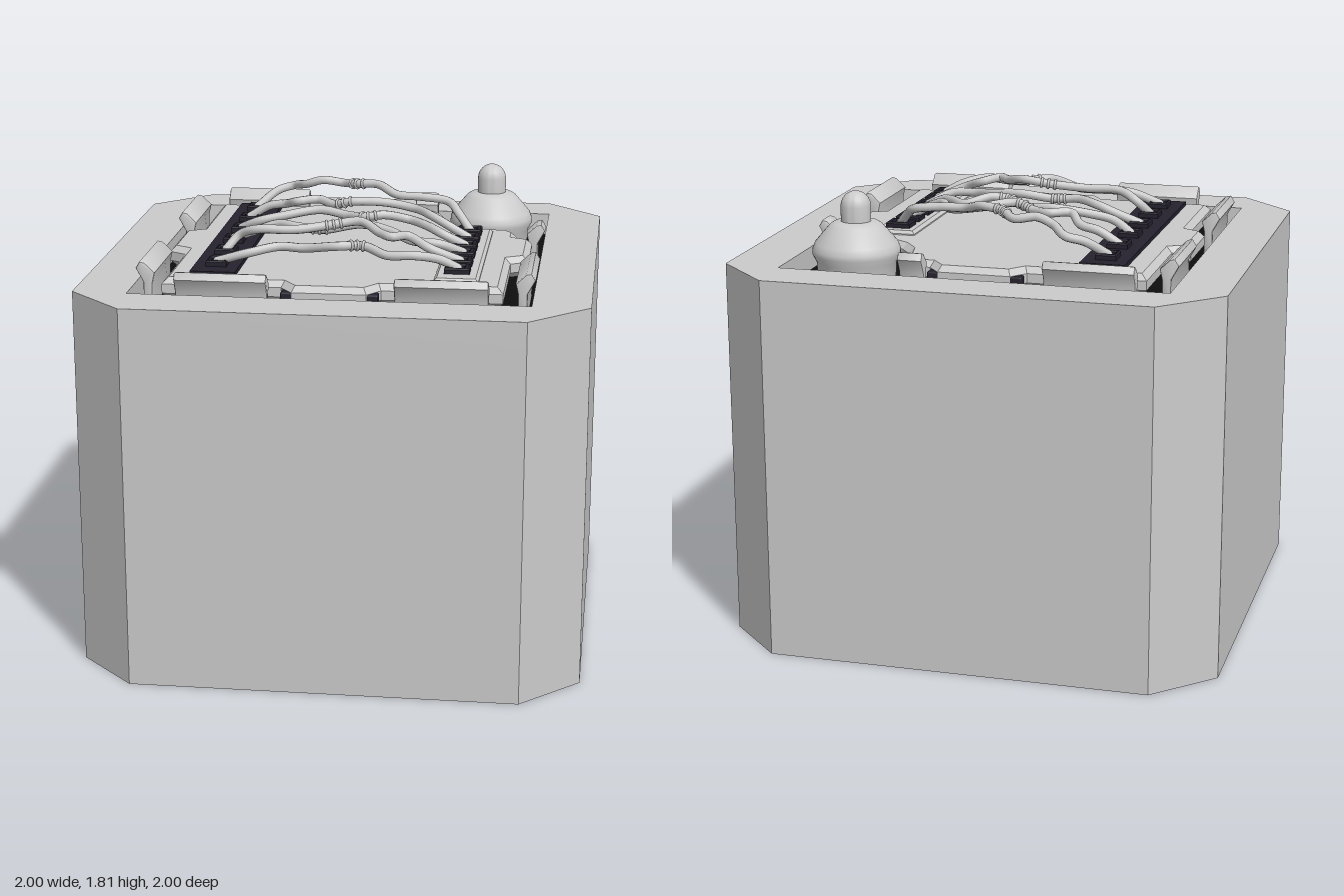
import * as THREE from 'three';
import { RoundedBoxGeometry } from 'three/addons/geometries/RoundedBoxGeometry.js';
import { toCreasedNormals } from 'three/addons/utils/BufferGeometryUtils.js';

const grey = new THREE.MeshStandardMaterial({ color: 0xcccccc });
const black = new THREE.MeshStandardMaterial({ color: 0x0e0e0e });
const dark = new THREE.MeshStandardMaterial({ color: 0x25222e });

function add(parent, name, geometry, material = grey, x = 0, y = 0, z = 0) {
  const mesh = new THREE.Mesh(geometry, material);
  mesh.name = name;
  mesh.position.set(x, y, z);
  parent.add(mesh);
  return mesh;
}

const toVec = ([x, z]) => new THREE.Vector2(x, -z);

// Horizontal slab from an (x, z) outline, with optional hole and bevel
function slab(points, y0, y1, hole = null, bevel = 0) {
  const shape = new THREE.Shape(points.map(toVec));
  if (hole) shape.holes.push(new THREE.Path(hole.map(toVec)));
  const geo = new THREE.ExtrudeGeometry(shape, {
    depth: y1 - y0 - 2 * bevel, bevelEnabled: bevel > 0, bevelSize: bevel,
    bevelThickness: bevel, bevelOffset: -bevel, bevelSegments: 1,
  });
  geo.rotateX(-Math.PI / 2);
  geo.translate(0, y0 + bevel, 0);
  return geo;
}

const rect = (x0, x1, z0, z1) => [[x0, z1], [x1, z1], [x1, z0], [x0, z0]];

// Leaning clip: profile in (outward, up), swept along the pit edge
function clipGeometry(length) {
  const b = 0.008;
  const profile = [[0.715, 1.45], [0.752, 1.45], [0.752, 1.545], [0.782, 1.6], [0.765, 1.627],
    [0.745, 1.623], [0.705, 1.585], [0.715, 1.54]];
  const shape = new THREE.Shape(profile.map(([u, v]) => new THREE.Vector2(u, v)));
  const geo = new THREE.ExtrudeGeometry(shape, {
    depth: length - 2 * b, bevelSize: b, bevelThickness: b, bevelOffset: -b, bevelSegments: 2,
  });
  geo.translate(0, 0, b - length / 2);
  return toCreasedNormals(geo, 0.7);
}

export function createModel() {
  const model = new THREE.Group();

  // Casing: chamfered block with a shallow square pit in the top
  const c = 0.77;
  const octagon = [[-c, 1], [c, 1], [1, c], [1, -c], [c, -1], [-c, -1], [-1, -c], [-1, c]];
  const casing = new THREE.Group();
  casing.name = 'casing';
  model.add(casing);
  add(casing, 'casingBlock', slab(octagon, 0, 1.44));
  add(casing, 'casingRim', slab(octagon, 1.44, 1.54, rect(-0.785, 0.775, -0.785, 0.775)));
  add(casing, 'pitFloor', slab(rect(-0.78, 0.77, -0.78, 0.77), 1.43, 1.45), black);

  // Panel with side tabs and a cut corner around the beacon
  const outline = [
    [-0.67, 0.66], [-0.2, 0.66], [-0.15, 0.73], [0.14, 0.73], [0.19, 0.66], [0.66, 0.66],
    [0.66, 0.18], [0.73, 0.14], [0.73, -0.17], [0.66, -0.2], [0.66, -0.28], [0.62, -0.33],
    [0.54, -0.335], [0.46, -0.355], [0.39, -0.4], [0.34, -0.47], [0.325, -0.54], [0.325, -0.61],
    [0.27, -0.67], [0.19, -0.67], [0.14, -0.735], [-0.15, -0.735], [-0.2, -0.67],
    [-0.67, -0.67], [-0.67, -0.19], [-0.74, -0.15], [-0.74, 0.14], [-0.67, 0.18],
  ];
  add(model, 'panel', slab(outline, 1.49, 1.575, null, 0.024));

  // Beacon in the cut corner
  const profile = [[0, 1.45], [0.155, 1.45], [0.16, 1.53], [0.176, 1.56], [0.175, 1.58], [0.165, 1.605],
    [0.105, 1.675], [0.09, 1.685], [0.06, 1.69], [0.06, 1.75]].map(([r, y]) => new THREE.Vector2(r, y));
  for (let i = 1; i <= 6; i++) {
    const a = (i / 6) * Math.PI / 2;
    profile.push(new THREE.Vector2(Math.max(0, 0.06 * Math.cos(a)), 1.75 + 0.06 * Math.sin(a)));
  }
  add(model, 'beacon', toCreasedNormals(new THREE.LatheGeometry(profile, 40), 0.6), grey, 0.535, 0, -0.54);

  // Clips around the pit: [turn, position along side, length]
  const right = 0, back = Math.PI / 2, left = Math.PI, front = -Math.PI / 2;
  const clips = [
    [right, -0.25, 0.1], [right, 0.445, 0.36], [left, -0.425, 0.36], [left, 0.44, 0.36],
    [front, -0.42, 0.36], [front, 0.43, 0.36], [back, -0.465, 0.36], [back, 0.24, 0.1],
  ];
  for (const [turn, along, length] of clips) {
    const onX = turn === right || turn === left;
    const clip = add(model, 'clip', clipGeometry(length), grey, onX ? 0 : along, 0, onX ? along : 0);
    clip.rotation.y = turn;
  }

  // Terminal strips
  add(model, 'darkStrip', slab(rect(-0.57, -0.39, -0.61, 0.605), 1.56, 1.592), dark);
  add(model, 'lightStrip', slab(rect(0.385, 0.56, -0.26, 0.605), 1.56, 1.592, null, 0.012));

  // Wire paths in (x, z), from dark strip to light strip
  const wires = [
    { lift: 0.13, splice: 0.48, path: [[-0.48, -0.5], [-0.4, -0.56], [-0.33, -0.58], [-0.26, -0.5], [-0.19, -0.48],
      [-0.1, -0.485], [-0.03, -0.41], [0.06, -0.38], [0.15, -0.31], [0.25, -0.3], [0.37, -0.29], [0.42, -0.22], [0.47, -0.17]] },
    { lift: 0.1, splice: 0.45, path: [[-0.48, -0.31], [-0.4, -0.31], [-0.32, -0.29], [-0.26, -0.21], [-0.18, -0.25],
      [-0.1, -0.19], [-0.02, -0.16], [0.12, -0.22], [0.24, -0.2], [0.32, -0.08], [0.39, -0.04], [0.47, -0.04]] },
    { lift: 0.085, splice: 0.55, path: [[-0.48, -0.1], [-0.4, -0.06], [-0.3, -0.07], [-0.15, -0.1], [-0.03, -0.06],
      [0.05, 0.01], [0.13, 0], [0.23, -0.04], [0.31, 0.04], [0.38, 0.11], [0.47, 0.1]] },
    { lift: 0.075, splice: 0.38, path: [[-0.48, 0.08], [-0.38, 0.08], [-0.3, 0.09], [-0.2, 0.16], [-0.1, 0.165],
      [0.05, 0.14], [0.17, 0.18], [0.27, 0.26], [0.38, 0.27], [0.47, 0.22]] },
    { lift: 0.11, splice: 0.43, path: [[-0.48, 0.28], [-0.43, 0.25], [-0.35, 0.29], [-0.2, 0.29], [-0.06, 0.26],
      [0.06, 0.25], [0.15, 0.34], [0.2, 0.39], [0.26, 0.33], [0.35, 0.38], [0.47, 0.36]] },
    { lift: 0.07, splice: 0.57, path: [[-0.48, 0.48], [-0.35, 0.49], [-0.24, 0.44], [-0.14, 0.45], [0, 0.5],
      [0.1, 0.46], [0.2, 0.53], [0.3, 0.54], [0.4, 0.5], [0.47, 0.48]] },
  ];

  const socketFrame = (w, h) => slab(rect(-w, w, -h, h), 1.58, 1.615, rect(-0.026, 0.026, -0.026, 0.026), 0.006);
  wires.forEach(({ lift, splice, path }, i) => {
    // Sockets at both ends
    const zl = [-0.5, -0.3, -0.1, 0.09, 0.285, 0.48][i];
    const zr = [-0.17, -0.04, 0.095, 0.225, 0.36, 0.485][i];
    for (const [x, z, w] of [[-0.48, zl, 0.042], [0.47, zr, 0.05]]) {
      add(model, 'socket', socketFrame(w, 0.044), dark, x, 0, z);
      add(model, 'socketHole', new THREE.BoxGeometry(0.054, 0.012, 0.054), black, x, 1.59, z);
    }

    // Wire arching over the panel
    const points = path.map(([x, z], k) => {
      const t = k / (path.length - 1);
      const wave = 0.012 * Math.sin(k * 2.1 + i) * Math.sin(Math.PI * t);
      return new THREE.Vector3(x, 1.605 + lift * Math.pow(Math.abs(Math.sin(Math.PI * t)), 0.6) + wave, z);
    });
    const curve = new THREE.CatmullRomCurve3(points);
    add(model, 'wire', new THREE.TubeGeometry(curve, 90, 0.018, 10), grey);
    for (const end of [points[0], points[points.length - 1]]) {
      add(model, 'wireEnd', new THREE.SphereGeometry(0.018, 10, 8), grey, end.x, end.y, end.z);
    }

    // Splice: a few turns wrapped round the wire
    for (const shift of [-0.025, 0, 0.025]) {
      const p = curve.getPointAt(splice + shift);
      const ring = add(model, 'splice', new THREE.TorusGeometry(0.018, 0.006, 6, 14), grey, p.x, p.y, p.z);
      ring.lookAt(p.clone().add(curve.getTangentAt(splice + shift)));
    }
  });

  // Small latch blocks under the panel tabs
  for (const x of [-0.17, 0.16]) {
    for (const z of [-0.71, 0.7]) {
      add(model, 'latch', new RoundedBoxGeometry(0.05, 0.1, 0.05, 2, 0.008), dark, x, 1.5, z);
    }
  }
  return model;
}
